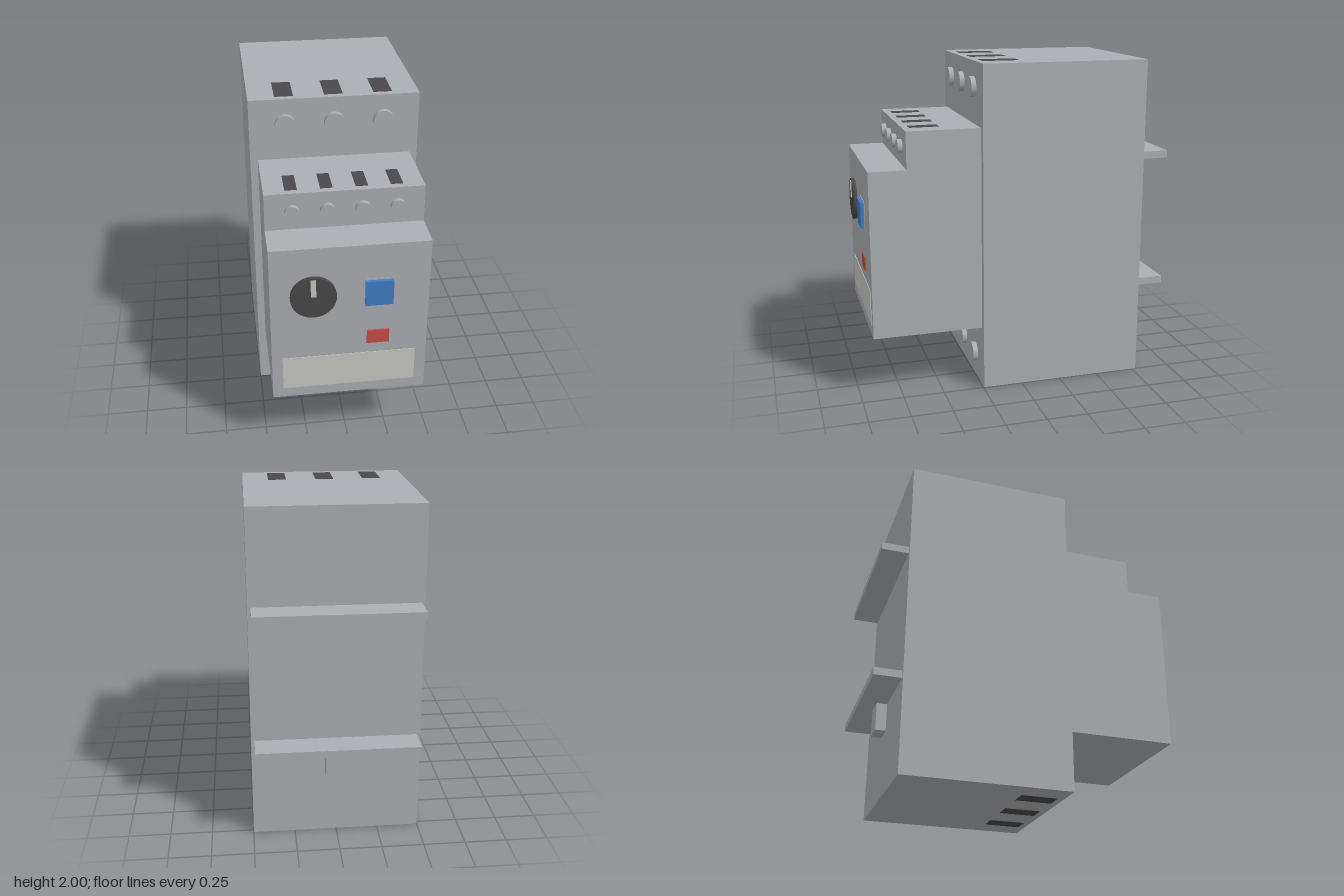
import * as THREE from 'three';

const mat = (name, color) => {
  const m = new THREE.MeshStandardMaterial({ color });
  m.name = name;
  return m;
};

export function createModel() {
  const grey = mat('housing grey', 0xabaeb2);
  const dark = mat('dark grey', 0x4a484a);
  const pale = mat('label off-white', 0xc8c8c4);
  const blue = mat('button blue', 0x3f7dc6);
  const red = mat('button red', 0xc54e46);

  const model = new THREE.Group();
  model.name = 'motorStarter';

  // box given by its limits on each axis
  const box = (name, material, [x0, x1], [y0, y1], [z0, z1]) => {
    const mesh = new THREE.Mesh(new THREE.BoxGeometry(x1 - x0, y1 - y0, z1 - z0), material);
    mesh.position.set((x0 + x1) / 2, (y0 + y1) / 2, (z0 + z1) / 2);
    mesh.name = name;
    model.add(mesh);
  };
  // disc facing the front
  const disc = (name, material, r, x, y, z0, z1) => {
    const geo = new THREE.CylinderGeometry(r, r, z1 - z0, 40).rotateX(Math.PI / 2);
    const mesh = new THREE.Mesh(geo, material);
    mesh.position.set(x, y, (z0 + z1) / 2);
    mesh.name = name;
    model.add(mesh);
  };

  // main housing
  box('housing', grey, [-0.5, 0.5], [0, 2], [-0.775, 0.245]);

  // stepped front module, one extruded side profile
  const profile = new THREE.Shape([
    [0.245, 0.38], [0.915, 0.38], [0.915, 1.4], [0.69, 1.4], [0.69, 1.625], [0.245, 1.625],
  ].map(([z, y]) => new THREE.Vector2(-z, y)));
  const front = new THREE.Mesh(
    new THREE.ExtrudeGeometry(profile, { depth: 0.91, bevelEnabled: false })
      .translate(0, 0, -0.455).rotateY(Math.PI / 2), grey);
  front.name = 'frontModule';
  model.add(front);

  // main terminals: screws and wire openings, top and bottom
  for (const x of [-0.29, 0, 0.29]) {
    for (const y of [0.157, 1.847]) disc('terminalScrew', grey, 0.061, x, y, 0.245, 0.275);
    box('topWireOpening', dark, [x - 0.055, x + 0.055], [1.998, 2.001], [-0.02, 0.203]);
    box('bottomWireOpening', dark, [x - 0.055, x + 0.055], [-0.001, 0.002], [-0.02, 0.203]);
  }

  // auxiliary terminals
  for (const x of [-0.3, -0.1, 0.1, 0.3]) {
    disc('auxiliaryScrew', grey, 0.042, x, 1.513, 0.69, 0.718);
    box('auxiliaryOpening', dark, [x - 0.035, x + 0.035], [1.623, 1.627], [0.47, 0.648]);
  }

  // setting dial with pointer
  disc('dial', dark, 0.132, -0.21, 1.09, 0.914, 0.937);
  box('dialPointer', pale, [-0.226, -0.196], [1.1, 1.21], [0.936, 0.943]);

  // buttons and label
  box('buttonFrame', grey, [0.075, 0.255], [1.0, 1.18], [0.914, 0.918]);
  box('resetButton', blue, [0.085, 0.245], [1.01, 1.17], [0.914, 0.938]);
  box('stopButton', red, [0.1, 0.23], [0.735, 0.825], [0.914, 0.923]);
  box('label', pale, [-0.393, 0.39], [0.445, 0.665], [0.914, 0.918]);

  // rear mounting ledges and latch
  for (const y of [0.57, 1.39]) box('mountingLedge', grey, [-0.48, 0.48], [y, y + 0.045], [-0.94, -0.775]);
  box('mountingLatch', grey, [-0.068, 0.068], [0.4, 0.57], [-0.838, -0.775]);

  return model;
}
